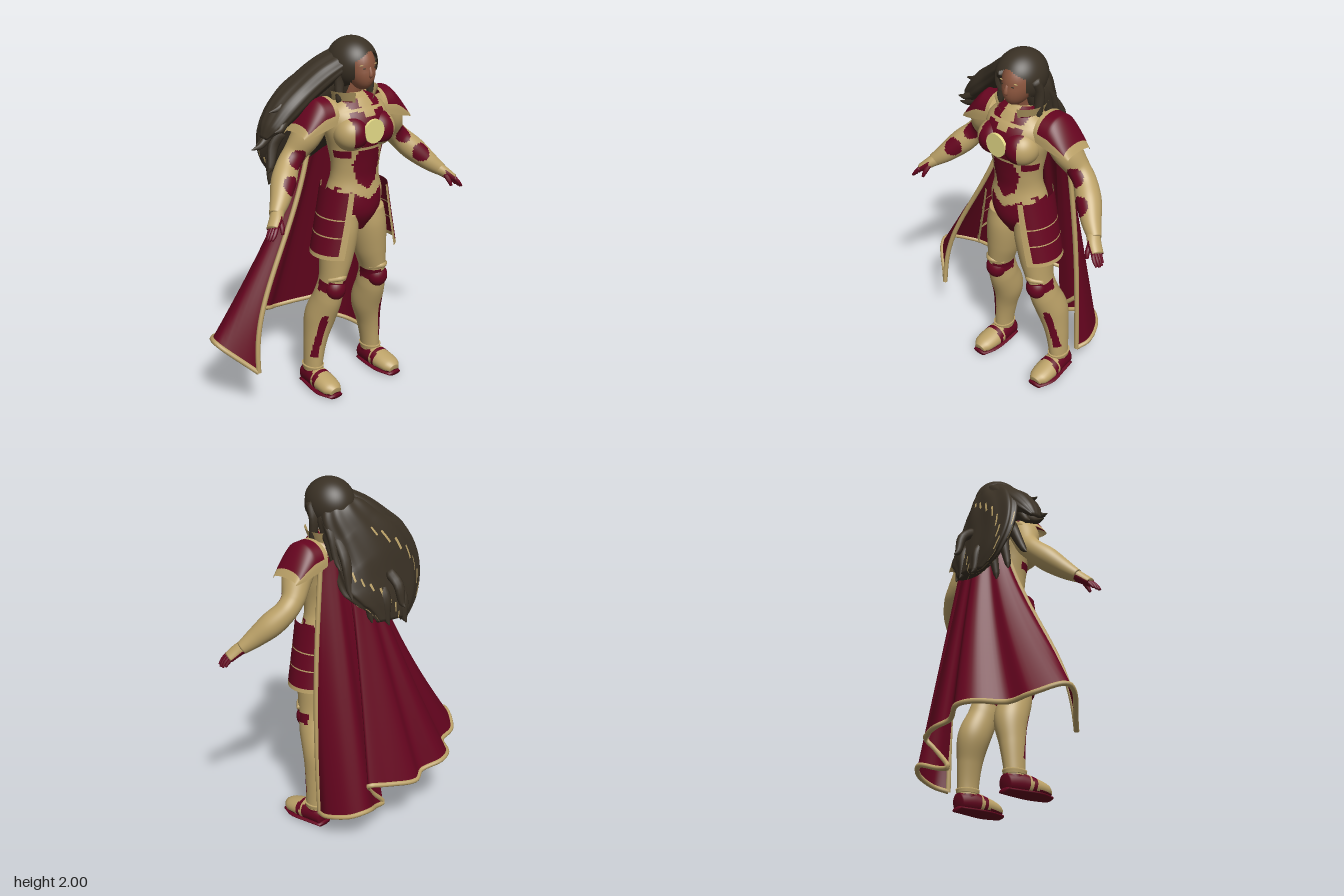
import * as THREE from 'three';

const CX = 0.065; // symmetry line of the body
const V = (x, y, z) => new THREE.Vector3(x, y, z);
const TAU = Math.PI * 2;

export function createModel() {
  const root = new THREE.Group();
  root.name = 'armouredWoman';
  const mat = (name, color) => new THREE.MeshStandardMaterial({ name, color, side: THREE.DoubleSide });
  const mats = {
    red: mat('crimson', 0x66041f), gold: mat('tanGold', 0xbca268), hair: mat('darkBrownHair', 0x3a3125),
    skin: mat('skin', 0x8c563e), light: mat('paleYellow', 0xe6dc88),
  };
  const add = (name, geo, key) => {
    const m = new THREE.Mesh(geo, Array.isArray(key) ? key : mats[key]);
    m.name = name;
    root.add(m);
    return m;
  };

  // Smooth grid surface; paint picks the colour of each cell, or null for a hole
  function grid(name, nu, nv, wrap, pos, paint) {
    const verts = [], pts = [], cells = {}, cols = wrap ? nu : nu + 1;
    for (let j = 0; j <= nv; j++) for (let i = 0; i < cols; i++) {
      const p = pos(i / nu, j / nv);
      pts.push(p);
      verts.push(p.x, p.y, p.z);
    }
    for (let j = 0; j < nv; j++) for (let i = 0; i < nu; i++) {
      const a = j * cols + i, b = j * cols + (i + 1) % cols, c = b + cols, d = a + cols;
      const mid = pts[a].clone().add(pts[c]).multiplyScalar(0.5);
      const key = typeof paint === 'string' ? paint : paint(mid, (i + 0.5) / nu, (j + 0.5) / nv);
      if (key) (cells[key] ??= []).push(a, b, c, a, c, d);
    }
    const geo = new THREE.BufferGeometry(), index = [], list = [];
    for (const key in cells) {
      geo.addGroup(index.length, cells[key].length, list.length);
      for (const k of cells[key]) index.push(k);
      list.push(mats[key]);
    }
    geo.setAttribute('position', new THREE.Float32BufferAttribute(verts, 3));
    geo.setIndex(index);
    geo.computeVertexNormals();
    return add(name, geo, list);
  }

  // Closed loft through [x, y, z, rx, rz] stations
  function limb(name, st, paint, nu = 20, nv = 26, ripple = 0) {
    const path = new THREE.CatmullRomCurve3(st.map(p => V(p[0], p[1], p[2])));
    const rad = new THREE.CatmullRomCurve3(st.map(p => V(p[3], p[4] ?? p[3], 0)), false, 'catmullrom');
    return grid(name, nu, nv, true, (u, v) => {
      const t = THREE.MathUtils.clamp((v * nv - 1) / (nv - 2), 0, 1);
      const T = path.getTangent(t), r = rad.getPoint(t), th = u * TAU;
      const a = Math.abs(T.z) > 0.9 ? V(1, 0, 0) : T.clone().cross(V(0, 0, 1)).normalize();
      const b = T.clone().cross(a);
      const k = v === 0 || v === 1 ? 0 : 1 + ripple * Math.cos(th * 11 + t * 3);
      return path.getPoint(t).addScaledVector(a, Math.cos(th) * r.x * k).addScaledVector(b, Math.sin(th) * r.y * k);
    }, paint);
  }
  const ball = (name, c, r, paint, n = 24) => grid(name, n, n, true, (u, v) => {
    const s = Math.sin(Math.PI * v), th = u * TAU;
    return V(c[0] + r[0] * s * Math.cos(th), c[1] - r[1] * Math.cos(Math.PI * v), c[2] - r[2] * s * Math.sin(th));
  }, paint);

  // Torso with painted plates
  limb('torso', [
    [CX, 0.95, 0.19, 0.05, 0.07], [CX, 1.05, 0.19, 0.14, 0.125], [CX, 1.15, 0.19, 0.168, 0.13],
    [CX, 1.25, 0.195, 0.145, 0.11], [CX, 1.33, 0.2, 0.145, 0.11], [CX, 1.43, 0.2, 0.165, 0.125],
    [CX, 1.53, 0.2, 0.19, 0.145], [CX, 1.61, 0.175, 0.19, 0.125], [CX, 1.67, 0.16, 0.13, 0.1], [CX, 1.7, 0.155, 0.07, 0.07],
  ], p => {
    const x = Math.abs(p.x - CX), { y } = p;
    if (y > 1.14 + x * 0.5 && y < 1.2 + x * 0.6) return 'gold';
    if (y < 1.2) return x < 0.105 || x > 0.15 ? 'red' : 'gold';
    if (y < 1.42) {
      const sidePatch = x > 0.1 && p.z > 0.21 && (y < 1.27 || y > 1.38);
      return x < 0.09 - Math.abs(y - 1.34) * 0.3 || sidePatch ? 'red' : 'gold';
    }
    if (y < 1.44) return 'gold';
    if (y > 1.6) return x > 0.04 && x < 0.105 && (y < 1.63 || y > 1.645) ? 'red' : 'gold';
    return x < 0.125 ? 'red' : 'gold';
  }, 72, 90);
  const disc = add('chestLight', new THREE.CylinderGeometry(0.065, 0.065, 0.016, 20), 'light');
  disc.rotation.x = Math.PI / 2;
  disc.position.set(CX - 0.005, 1.53, 0.358);

  // Neck, and a collar open at the throat
  limb('neck', [[CX, 1.64, 0.15, 0.055], [CX, 1.72, 0.17, 0.05], [CX + 0.01, 1.8, 0.19, 0.05]], p => p.y < 1.7 ? 'gold' : 'skin');
  grid('collar', 40, 8, false, (u, v) => {
    const th = 0.5 + u * (TAU - 1), r = 0.095 + 0.035 * v;
    return V(CX + Math.sin(th) * r * 1.1, 1.63 + 0.1 * v, 0.17 + Math.cos(th) * r);
  }, (p, u, v) => v < 0.5 && Math.abs(u - 0.5) > 0.38 && Math.abs(u - 0.5) < 0.47 ? 'red' : 'gold');

  // Head and face
  const hx = 0.08;
  const head = ball('head', [0, 0, 0], [0.084, 0.12, 0.1], 'skin', 28);
  const hp = head.geometry.attributes.position;
  for (let i = 0; i < hp.count; i++) {
    const t = Math.max(0, -hp.getY(i) / 0.12);
    hp.setX(i, hp.getX(i) * (1 - 0.15 * t));
    hp.setZ(i, hp.getZ(i) + 0.03 * t);
  }
  head.geometry.computeVertexNormals();
  head.position.set(hx, 1.845, 0.2);
  limb('nose', [[hx, 1.855, 0.292, 0.008], [hx, 1.815, 0.303, 0.013], [hx, 1.803, 0.296, 0.01]], 'skin', 10, 8);
  ball('mouth', [hx, 1.776, 0.289], [0.021, 0.006, 0.01], 'skin', 10);
  for (const s of [-1, 1]) {
    ball('eye', [hx + s * 0.032, 1.85, 0.29], [0.012, 0.004, 0.004], 'hair', 10);
    ball('browOrnament', [hx + s * 0.042, 1.866, 0.282], [0.018, 0.004, 0.005], 'gold', 10);
  }

  // Hair: cap with a face opening, mane down the back, sweep over the right shoulder, loose locks
  ball('hairCap', [CX, 1.86, 0.165], [0.13, 0.14, 0.148], p =>
    p.z > 0.16 && p.y < 1.94 - Math.abs(p.x - hx) * 0.5 && Math.abs(p.x - hx) < 0.088 ? null : 'hair', 60);
  const fleck = (u, v) => {
    const i = Math.floor(u * 110), j = Math.floor(v * 56);
    return j > 20 && i % 3 === 1 && (Math.floor(j / 4) * 3 + i) % 8 === 0 ? 'gold' : 'hair';
  };
  limb('hairMane', [
    [0.065, 1.93, 0.15, 0.05, 0.05], [0.05, 1.84, 0.115, 0.145, 0.105], [0, 1.73, 0.06, 0.2, 0.115],
    [-0.065, 1.59, -0.01, 0.27, 0.105], [-0.1, 1.46, -0.065, 0.285, 0.08], [-0.105, 1.34, -0.11, 0.23, 0.06],
    [-0.09, 1.23, -0.15, 0.12, 0.03],
  ], (p, u, v) => fleck(u, v), 110, 56, 0.025);
  limb('hairSweep', [
    [0.02, 1.9, 0.16, 0.05, 0.1], [-0.08, 1.82, 0.1, 0.07, 0.11], [-0.19, 1.73, 0.06, 0.07, 0.11],
    [-0.3, 1.64, 0.05, 0.07, 0.1], [-0.385, 1.56, 0.05, 0.045, 0.075], [-0.43, 1.51, 0.05, 0.012, 0.03],
  ], 'hair', 44, 36, 0.035);
  const locks = [
    [-0.08, 1.8, 0.1, -0.41, 1.65, 0.08], [-0.2, 1.66, 0.1, -0.42, 1.56, 0.14], [-0.2, 1.6, 0.04, -0.5, 1.46, 0.05],
    [-0.24, 1.66, 0.05, -0.44, 1.46, 0.0], [-0.28, 1.5, 0.0, -0.38, 1.3, 0.02], [-0.28, 1.45, -0.04, -0.32, 1.2, -0.06],
    [-0.22, 1.42, -0.07, -0.24, 1.16, -0.08], [-0.17, 1.4, -0.1, -0.16, 1.2, -0.19], [-0.08, 1.5, -0.13, -0.08, 1.33, -0.25],
    [-0.03, 1.45, -0.1, -0.03, 1.22, -0.18], [0.06, 1.5, -0.06, 0.06, 1.25, -0.14], [0.14, 1.72, 0.05, 0.17, 1.4, -0.1],
    [0.15, 1.84, 0.15, 0.18, 1.55, -0.02], [0.175, 1.88, 0.2, 0.19, 1.64, 0.17], [-0.02, 1.88, 0.22, -0.06, 1.66, 0.2],
  ];
  for (const [x, y, z, X, Y, Z] of locks) limb('hairLock', [
    [x, y, z, 0.03, 0.03], [x * 0.6 + X * 0.4, y * 0.6 + Y * 0.4 + 0.015, z * 0.6 + Z * 0.4 - 0.02, 0.032, 0.026],
    [x * 0.2 + X * 0.8, y * 0.2 + Y * 0.8 - 0.015, z * 0.2 + Z * 0.8, 0.018], [X, Y, Z, 0.003]], 'hair', 10, 14);

  for (const s of [-1, 1]) {
    const X = x => CX + s * x;
    const side = st => st.map(([x, ...r]) => [X(x), ...r]);
    const near = (p, x, y, z, r) => p.distanceTo(V(X(x), y, z)) < r;

    // Breastplate half
    ball('breastPlate', [X(0.09), 1.515, 0.27], [0.095, 0.095, 0.098], p =>
      (p.x - CX) * s < 0.125 && p.y > 1.455 ? 'red' : 'gold', 44);

    // Shoulder guard: arched plate, flat on top and sloping outwards, with gold borders
    grid('shoulderGuard', 36, 26, false, (u, v) => {
      const th = Math.PI * u, bottom = 1.575 - 0.06 * v;
      const top = 1.7 - 0.16 * Math.pow(Math.max(0, v - 0.4) / 0.6, 1.3);
      return V(X(0.155 + 0.21 * v), bottom + (top - bottom) * Math.pow(Math.sin(th), 0.7),
        0.145 + 0.115 * Math.cos(th) * (1 - 0.25 * v * v * v));
    }, (p, u, v) => v < 0.12 || v > 0.9 || u < 0.09 || u > 0.91 ? 'gold' : 'red');

    // Arm with elbow and forearm patches
    limb('arm', side([
      [0.22, 1.6, 0.15, 0.08], [0.28, 1.51, 0.14, 0.078, 0.083], [0.335, 1.42, 0.115, 0.064], [0.385, 1.365, 0.12, 0.062],
      [0.45, 1.295, 0.165, 0.067], [0.52, 1.22, 0.225, 0.052], [0.575, 1.17, 0.265, 0.036],
    ]), p => near(p, 0.365, 1.4, 0.185, 0.052) || near(p, 0.45, 1.29, 0.235, 0.052) ? 'red' : 'gold', 48, 80);
    // Hand: gold across the back, red palm and fingers
    limb('palm', side([[0.555, 1.185, 0.255, 0.036], [0.59, 1.155, 0.285, 0.03, 0.038], [0.63, 1.12, 0.31, 0.024, 0.036]]),
      p => (p.x - CX) * s < 0.57 || 0.65 * ((p.x - CX) * s - 0.6) + 0.75 * (p.y - 1.145) > 0.006 ? 'gold' : 'red', 28, 20);
    for (let k = 0; k < 4; k++) {
      const z = 0.285 + k * 0.016, d = Math.abs(k - 1.5) * 0.006;
      limb('finger', side([[0.62, 1.13, z, 0.012], [0.652 - d, 1.1, z + 0.014, 0.011], [0.67 - d, 1.068 + d, z + 0.018, 0.007]]), 'red', 8, 8);
    }
    limb('thumb', side([[0.575, 1.155, 0.3, 0.014], [0.582, 1.12, 0.33, 0.013], [0.59, 1.09, 0.342, 0.008]]), 'red', 8, 8);

    // Leg with shin stripe and knee strap
    limb('leg', side([
      [0.09, 1.06, 0.19, 0.085, 0.11], [0.1, 0.95, 0.19, 0.098, 0.115], [0.12, 0.8, 0.19, 0.088, 0.1], [0.145, 0.66, 0.185, 0.066, 0.085],
      [0.155, 0.55, 0.16, 0.075, 0.09], [0.17, 0.42, 0.11, 0.083, 0.095], [0.195, 0.28, 0.1, 0.063, 0.075],
      [0.21, 0.14, 0.1, 0.05, 0.063], [0.212, 0.05, 0.1, 0.052, 0.06],
    ]), p => {
      const dx = (p.x - CX) * s - (0.155 + (0.55 - p.y) * 0.14);
      if (p.y > 0.19 && p.y < 0.46 && dx > 0.018 && dx < 0.05 && p.z > 0.1) return 'red';
      return (p.y > 0.61 && p.y < 0.67 && p.z > 0.15) || p.y < 0.1 ? 'red' : 'gold';
    }, 60, 90);
    ball('kneeCap', [X(0.15), 0.622, 0.225], [0.06, 0.066, 0.055], 'red');
    limb('kneeBand', side([[0.085, 0.685, 0.23, 0.012], [0.145, 0.7, 0.277, 0.014], [0.205, 0.685, 0.23, 0.012]]), 'gold', 10, 12);

    // Foot on a flat sole
    limb('foot', side([
      [0.212, 0.052, 0.035, 0.045, 0.05], [0.213, 0.062, 0.12, 0.058, 0.062], [0.216, 0.055, 0.21, 0.066, 0.053],
      [0.218, 0.045, 0.28, 0.058, 0.042], [0.216, 0.035, 0.315, 0.035, 0.03],
    ]), p => (p.z > 0.2 && p.y > 0.03) || (p.z > 0.155 && p.z < 0.175) ? 'gold' : 'red', 32, 36);
    limb('sole', side([
      [0.212, 0.013, 0.03, 0.045, 0.013], [0.213, 0.013, 0.12, 0.06, 0.013], [0.218, 0.013, 0.23, 0.07, 0.013], [0.216, 0.013, 0.32, 0.042, 0.013],
    ]), 'red', 20, 16);
    limb('ankleCuff', side([[0.212, 0.105, 0.1, 0.053, 0.066], [0.212, 0.13, 0.1, 0.057, 0.071]]), 'gold', 20, 6);

    // Hip plate with gold border and seams, its front edge slanting outwards
    grid('hipPlate', 40, 50, false, (u, v) => {
      const th = Math.PI / 2 + (u - 0.5) * (2.6 - 0.55 * v);
      return V(X(0.08 + Math.sin(th) * (0.105 + 0.08 * v)), 1.2 - 0.37 * v, 0.19 + Math.cos(th) * (0.145 + 0.02 * v));
    }, (p, u, v) => u < 0.1 || u > 0.95 || v > 0.94 || (v > 0.4 && v < 0.42) || (v > 0.66 && v < 0.68) ? 'gold' : 'red');
  }

  // Wind-blown cape with one overlapping fold and front edges that bow out
  const hem = new THREE.CatmullRomCurve3([
    [0.335, 0.12, 0.01], [0.36, 0.14, -0.07], [0.31, 0.17, -0.2], [0.22, 0.19, -0.255], [0.1, 0.15, -0.21], [0.03, 0.14, -0.2],
    [0.13, 0.25, -0.2], [0.19, 0.33, -0.235], [0.09, 0.32, -0.29], [-0.08, 0.3, -0.35], [-0.16, 0.32, -0.32], [-0.28, 0.35, -0.365],
    [-0.38, 0.35, -0.33], [-0.49, 0.34, -0.2], [-0.63, 0.35, -0.16], [-0.73, 0.4, 0], [-0.57, 0.24, 0.17],
  ].map(p => V(...p)));
  const cape = (u, v) => {
    const b = hem.getPoint(u), k = Math.sin(Math.PI * u), L = THREE.MathUtils.lerp;
    const bow = 0.1 * Math.sin(Math.PI * v * v) * Math.max(0, (u - 0.93) / 0.07)
      - 0.03 * Math.sin(Math.PI * v) * Math.max(0, 1 - u / 0.15);
    return V(L(0.26 - 0.38 * u, b.x, Math.pow(v, 1 + 0.4 * u)) - bow, L(1.57 + 0.07 * k, b.y, v), L(0.05 - 0.06 * k, b.z, v));
  };
  grid('cape', 112, 40, false, cape, 'red');
  const trim = (n, f) => {
    const pts = Array.from({ length: n + 1 }, (_, i) => f(i / n));
    add('capeTrim', new THREE.TubeGeometry(new THREE.CatmullRomCurve3(pts), n * 2, 0.014, 8), 'gold');
  };
  trim(64, t => cape(t, 1));
  trim(24, t => cape(0, t));
  trim(24, t => cape(1, t));

  return root;
}
